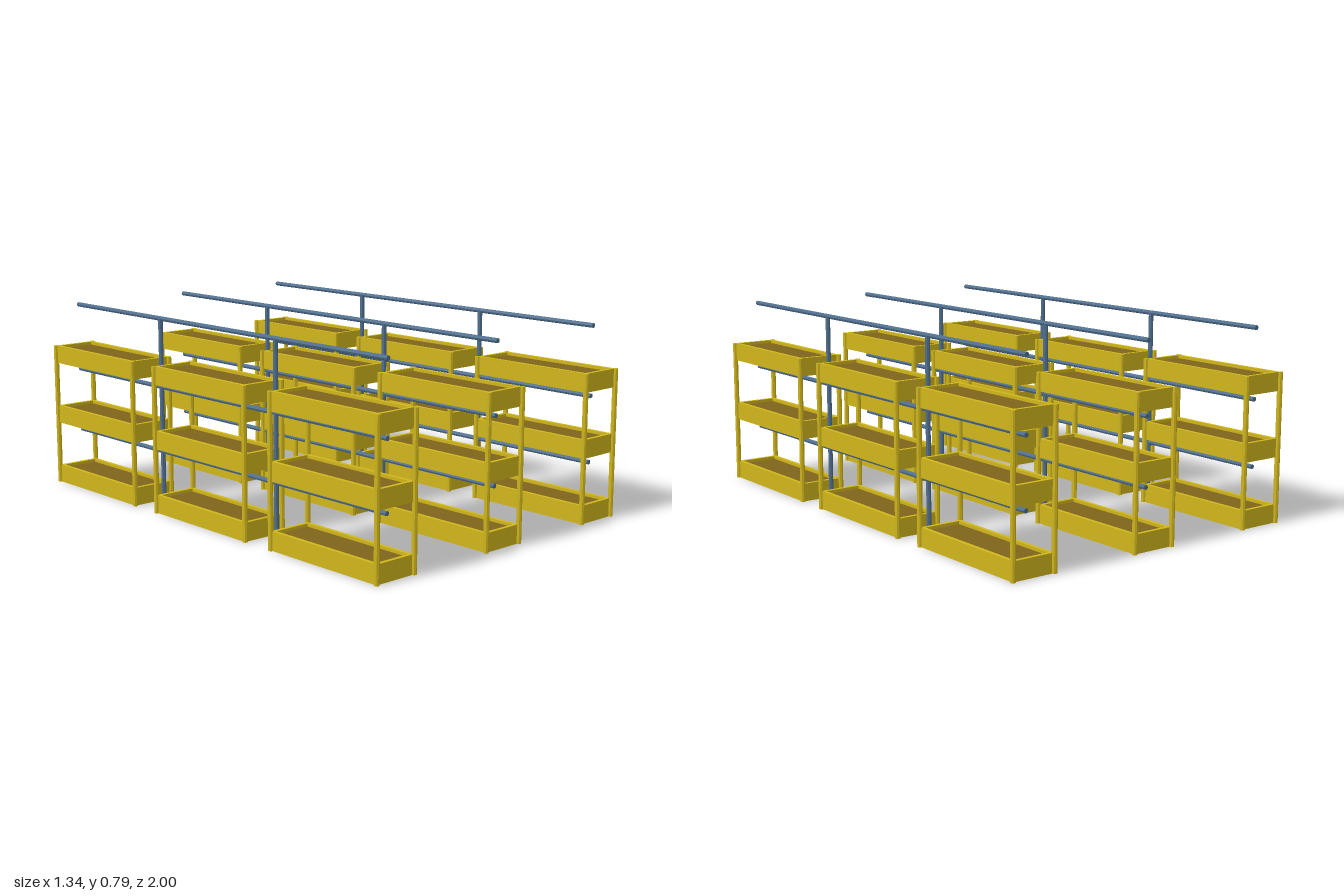
import * as THREE from 'three';

const yellow = new THREE.MeshStandardMaterial({ color: 0xd0b61b, flatShading: true });
const soilBrown = new THREE.MeshStandardMaterial({ color: 0x80651a });
const pipeBlue = new THREE.MeshStandardMaterial({ color: 0x4f6f8f, flatShading: true });

// Tray and rack dimensions
const HX = 0.0925, HZ = 0.28, WALL = 0.016, TRAY_H = 0.075, RACK_H = 0.603;
const LEVELS = [0, 0.265, 0.528];

function add(parent, name, geometry, material, x = 0, y = 0, z = 0) {
  const mesh = new THREE.Mesh(geometry, material);
  mesh.name = name;
  mesh.position.set(x, y, z);
  parent.add(mesh);
  return mesh;
}

function rectangle(Type, hx, hz) {
  return new Type([[-hx, -hz], [hx, -hz], [hx, hz], [-hx, hz]].map(([x, y]) => new THREE.Vector2(x, y)));
}

// Open frame with a floor, filled with soil to just below the rim
const frameShape = rectangle(THREE.Shape, HX, HZ);
frameShape.holes.push(rectangle(THREE.Path, HX - WALL, HZ - WALL));
const frameGeometry = new THREE.ExtrudeGeometry(frameShape, { depth: TRAY_H, bevelEnabled: false }).rotateX(-Math.PI / 2);
const floorGeometry = new THREE.BoxGeometry(2 * (HX - WALL), 0.01, 2 * (HZ - WALL));
const soilGeometry = new THREE.BoxGeometry(2 * (HX - WALL), 0.053, 2 * (HZ - WALL));
const postGeometry = new THREE.CylinderGeometry(0.0105, 0.0105, RACK_H, 8);

function createTray() {
  const tray = new THREE.Group();
  tray.name = 'tray';
  add(tray, 'trayFrame', frameGeometry, yellow);
  add(tray, 'trayFloor', floorGeometry, yellow, 0, 0.005);
  add(tray, 'soil', soilGeometry, soilBrown, 0, 0.0365);
  return tray;
}

// Three stacked trays held by four corner posts
function createRack() {
  const rack = new THREE.Group();
  rack.name = 'plantingRack';
  for (const y of LEVELS) {
    const tray = createTray();
    tray.position.y = y;
    rack.add(tray);
  }
  for (const sx of [-1, 1])
    for (const sz of [-1, 1])
      add(rack, 'cornerPost', postGeometry, yellow, sx * HX, RACK_H / 2, sz * HZ);
  return rack;
}

// Three long pipes carried by two uprights between the racks
const longPipe = new THREE.CylinderGeometry(0.0095, 0.0095, 1.89, 8).rotateX(Math.PI / 2);
const uprightPipe = new THREE.CylinderGeometry(0.0095, 0.0095, 0.778, 8);

function createPipework() {
  const pipework = new THREE.Group();
  pipework.name = 'pipework';
  for (const y of [0.23, 0.498, 0.778]) add(pipework, 'wateringPipe', longPipe, pipeBlue, 0, y);
  for (const z of [-0.355, 0.355]) add(pipework, 'uprightPipe', uprightPipe, pipeBlue, 0, 0.389, z);
  return pipework;
}

export function createModel() {
  const model = new THREE.Group();
  model.name = 'verticalFarm';
  for (const x of [-0.565, 0, 0.565]) {
    const row = new THREE.Group();
    row.name = 'rackRow';
    row.position.x = x;
    for (const z of [-0.709, 0, 0.709]) {
      const rack = createRack();
      rack.position.z = z;
      row.add(rack);
    }
    row.add(createPipework());
    model.add(row);
  }
  return model;
}
